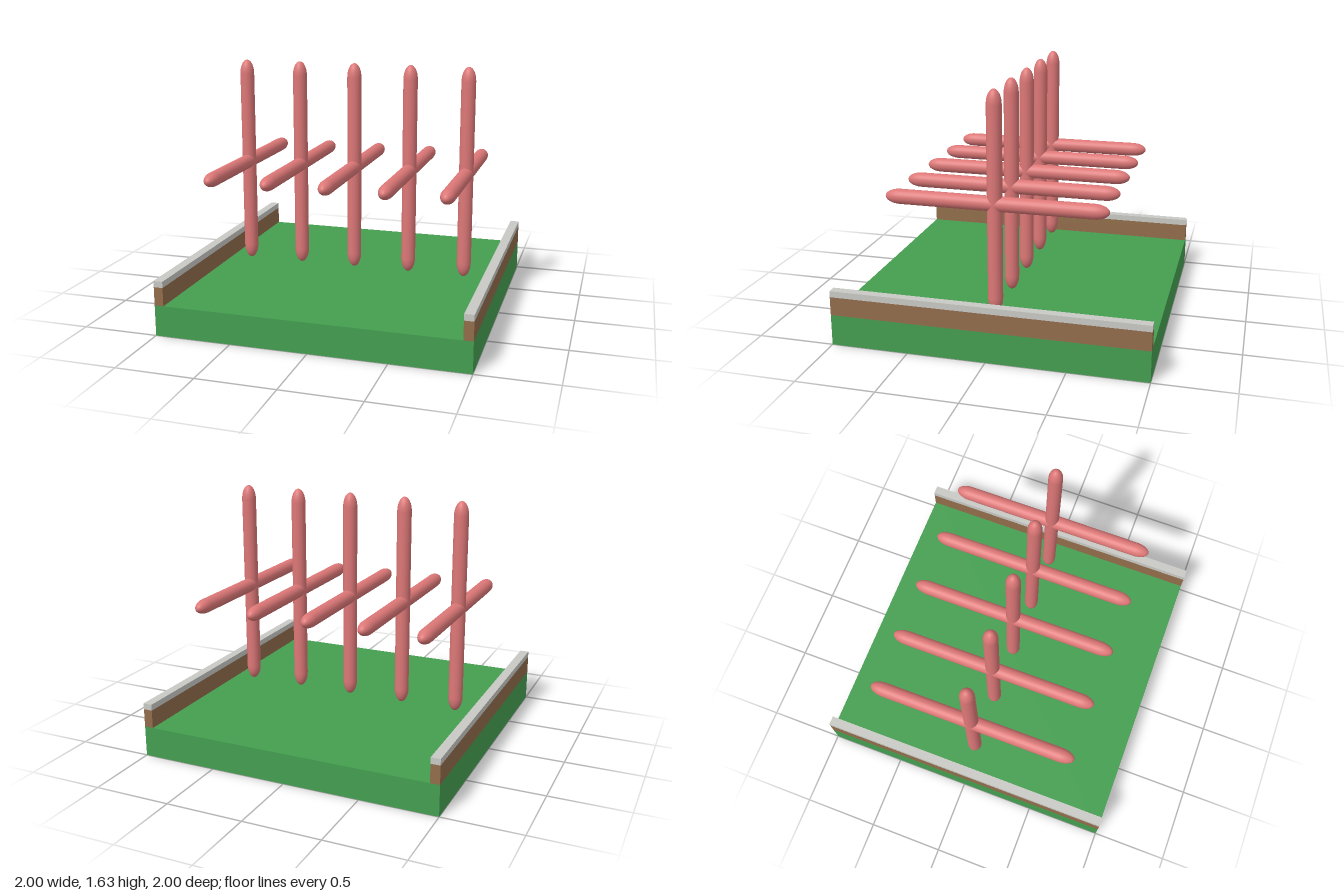
import * as THREE from 'three';

const material = (name, color) => {
  const m = new THREE.MeshStandardMaterial({ color });
  m.name = name;
  return m;
};

export function createModel() {
  const green = material('grassGreen', 0x449e50);
  const brown = material('woodBrown', 0x926d4b);
  const grey = material('stoneGrey', 0xc8c8c4);
  const red = material('softRed', 0xdd7777);

  const model = new THREE.Group();
  model.name = 'crossRow';

  const add = (parent, name, geometry, mat, x, y, z) => {
    const mesh = new THREE.Mesh(geometry, mat);
    mesh.name = name;
    mesh.position.set(x, y, z);
    parent.add(mesh);
    return mesh;
  };

  // Ground slab
  add(model, 'ground', new THREE.BoxGeometry(2, 0.2, 2), green, 0, 0.1, 0);

  // Low side walls with pale caps
  for (const side of [-1, 1]) {
    const wall = new THREE.Group();
    wall.name = side > 0 ? 'leftWall' : 'rightWall';
    add(wall, 'wallBody', new THREE.BoxGeometry(0.06, 0.12, 2), brown, side * 0.97, 0.26, 0);
    add(wall, 'wallCap', new THREE.BoxGeometry(0.06, 0.04, 2), grey, side * 0.97, 0.34, 0);
    model.add(wall);
  }

  // Rods with stretched round ends, crossed in pairs and floating over the ground
  const rod = new THREE.CapsuleGeometry(0.047, 0.604, 8, 24);
  rod.scale(1, 2, 1);
  for (let i = -2; i <= 2; i++) {
    const cross = new THREE.Group();
    cross.name = `cross${i + 3}`;
    cross.position.set(i * 0.38, 0.933, 0);
    add(cross, 'uprightRod', rod, red, 0, 0, 0);
    add(cross, 'levelRod', rod, red, 0, 0, 0).rotation.x = Math.PI / 2;
    model.add(cross);
  }

  return model;
}
